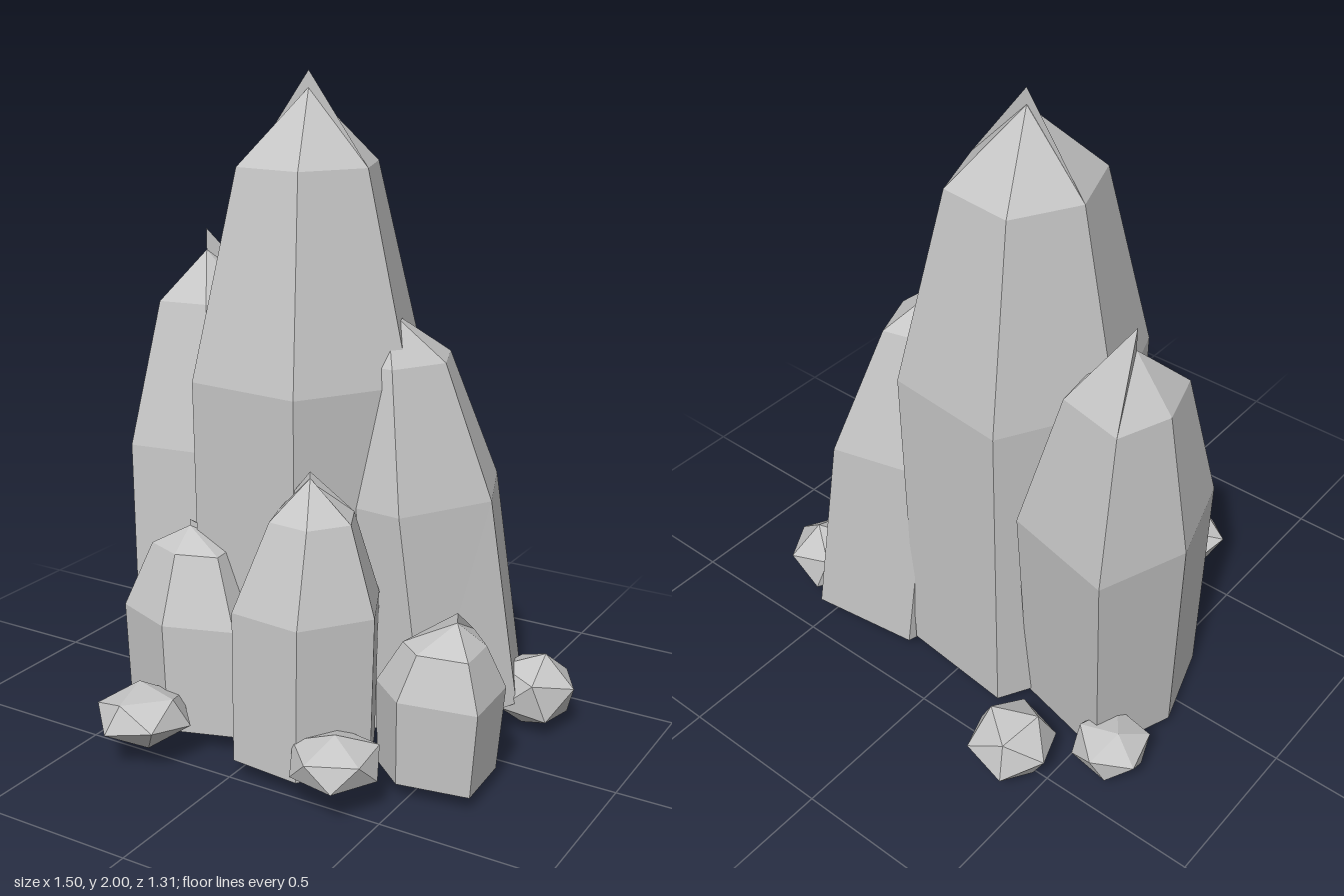
import * as THREE from 'three';

const stone = new THREE.MeshStandardMaterial({ color: 0xc6c6c6, side: THREE.DoubleSide });
stone.name = 'pale grey stone';

// Faceted crystal: plan = hexagon corners [x, z], counterclockwise from above;
// rings = [y, scale, dx, dz, slope along x] from base to shoulder;
// tip = [x, z, heights per side]; fin = optional upright sliver [corner, corner, height]
function crystal(name, plan, rings, [tx, tz, heights], fin) {
  const n = plan.length;
  const cx = plan.reduce((s, p) => s + p[0], 0) / n;
  const cz = plan.reduce((s, p) => s + p[1], 0) / n;
  const loops = rings.map(([y, s, dx, dz, slope = 0]) =>
    plan.map(([x, z]) => [cx + dx + (x - cx) * s, y + slope * (x - cx), cz + dz + (z - cz) * s]));
  const top = loops[loops.length - 1];
  const tips = heights.map((y) => [tx, y, tz]);
  const base = [cx + rings[0][2], rings[0][0], cz + rings[0][3]];
  const pos = [];
  const tri = (a, b, c) => pos.push(...a, ...b, ...c);
  for (let i = 0; i < n; i++) {
    const j = (i + 1) % n;
    tri(base, loops[0][j], loops[0][i]);
    for (let k = 0; k + 1 < loops.length; k++) {
      const a = loops[k], b = loops[k + 1];
      tri(a[i], a[j], b[j]);
      tri(a[i], b[j], b[i]);
    }
    // slightly uneven tip facets
    tri(top[i], top[j], tips[i]);
    if (heights[i] !== heights[j]) tri(top[j], tips[j], tips[i]);
  }
  if (fin) tri(top[fin[0]], top[fin[1]], [tx, fin[2], tz]);
  const geo = new THREE.BufferGeometry();
  geo.setAttribute('position', new THREE.Float32BufferAttribute(pos, 3));
  geo.computeVertexNormals();
  const mesh = new THREE.Mesh(geo, stone);
  mesh.name = name;
  return mesh;
}

// Squashed pebble
function pebble(x, y, z, r, h, turn) {
  const geo = new THREE.IcosahedronGeometry(r, 0);
  geo.rotateX(turn * 0.6);
  geo.rotateY(turn);
  geo.scale(1, h / r, 1);
  geo.computeVertexNormals();
  const mesh = new THREE.Mesh(geo, stone);
  mesh.position.set(x, y, z);
  mesh.name = 'pebble';
  return mesh;
}

export function createModel() {
  const group = new THREE.Group();
  group.name = 'crystalCluster';

  group.add(
    crystal('mainCrystal',
      [[-0.27, 0.27], [0.10, 0.30], [0.30, -0.02], [0.17, -0.36], [-0.22, -0.40], [-0.40, -0.08]],
      [[0.06, 0.97, 0, 0], [1.11, 1, 0, 0], [1.73, 0.6, -0.02, -0.02]],
      [-0.08, -0.08, [1.95, 1.95, 1.95, 1.95, 1.95, 1.95]], [5, 2, 2]),
    crystal('rightTallCrystal',
      [[-0.63, 0.11], [-0.36, 0.07], [-0.24, -0.15], [-0.27, -0.36], [-0.62, -0.44], [-0.72, -0.17]],
      [[0.05, 0.93, 0.03, 0.06], [0.82, 1, 0, 0], [1.27, 0.6, -0.03, -0.02]],
      [-0.52, -0.17, [1.42, 1.42, 1.42, 1.49, 1.42, 1.42]]),
    crystal('leftTallCrystal',
      [[0.24, 0.10], [0.44, 0.12], [0.61, -0.17], [0.50, -0.45], [0.18, -0.37], [0.12, -0.13]],
      [[0.07, 1, 0, 0, 0.16], [0.76, 0.96, -0.08, 0.03], [1.17, 0.55, -0.12, 0.05]],
      [0.19, -0.08, [1.32, 1.32, 1.32, 1.32, 1.32, 1.32]]),
    crystal('frontCrystal',
      [[0.01, 0.49], [0.24, 0.51], [0.38, 0.32], [0.29, 0.13], [0.07, 0.11], [-0.05, 0.31]],
      [[0.06, 0.98, 0, 0.01], [0.52, 1, 0, 0], [0.78, 0.57, 0.01, -0.01]],
      [0.15, 0.29, [0.89, 0.89, 0.88, 0.91, 0.91, 0.89]]),
    crystal('frontRightCrystal',
      [[-0.47, 0.37], [-0.27, 0.45], [-0.06, 0.38], [-0.08, 0.18], [-0.26, 0.08], [-0.43, 0.15]],
      [[0.06, 0.98, 0.01, 0], [0.40, 1, 0, 0], [0.60, 0.6, -0.01, -0.01]],
      [-0.29, 0.27, [0.66, 0.66, 0.66, 0.68, 0.66, 0.66]]),
    crystal('leftShortCrystal',
      [[0.48, 0.37], [0.71, 0.33], [0.70, 0.12], [0.57, -0.02], [0.42, 0.08], [0.36, 0.27]],
      [[0.05, 0.93, -0.01, 0], [0.31, 1, 0, 0], [0.44, 0.64, 0.01, 0.01]],
      [0.58, 0.20, [0.51, 0.51, 0.51, 0.54, 0.54, 0.51]]),
  );

  // Loose pebbles around the foot
  [
    [-0.38, 0.11, -0.52, 0.14, 0.115, 0.4],
    [-0.63, 0.13, -0.36, 0.125, 0.085, 1.2],
    [0.62, 0.12, -0.28, 0.14, 0.12, 2.1],
    [-0.285, 0.145, 0.53, 0.15, 0.085, 0.8],
    [0.345, 0.145, 0.48, 0.145, 0.08, 1.7],
  ].forEach((p) => group.add(pebble(...p)));

  return group;
}
